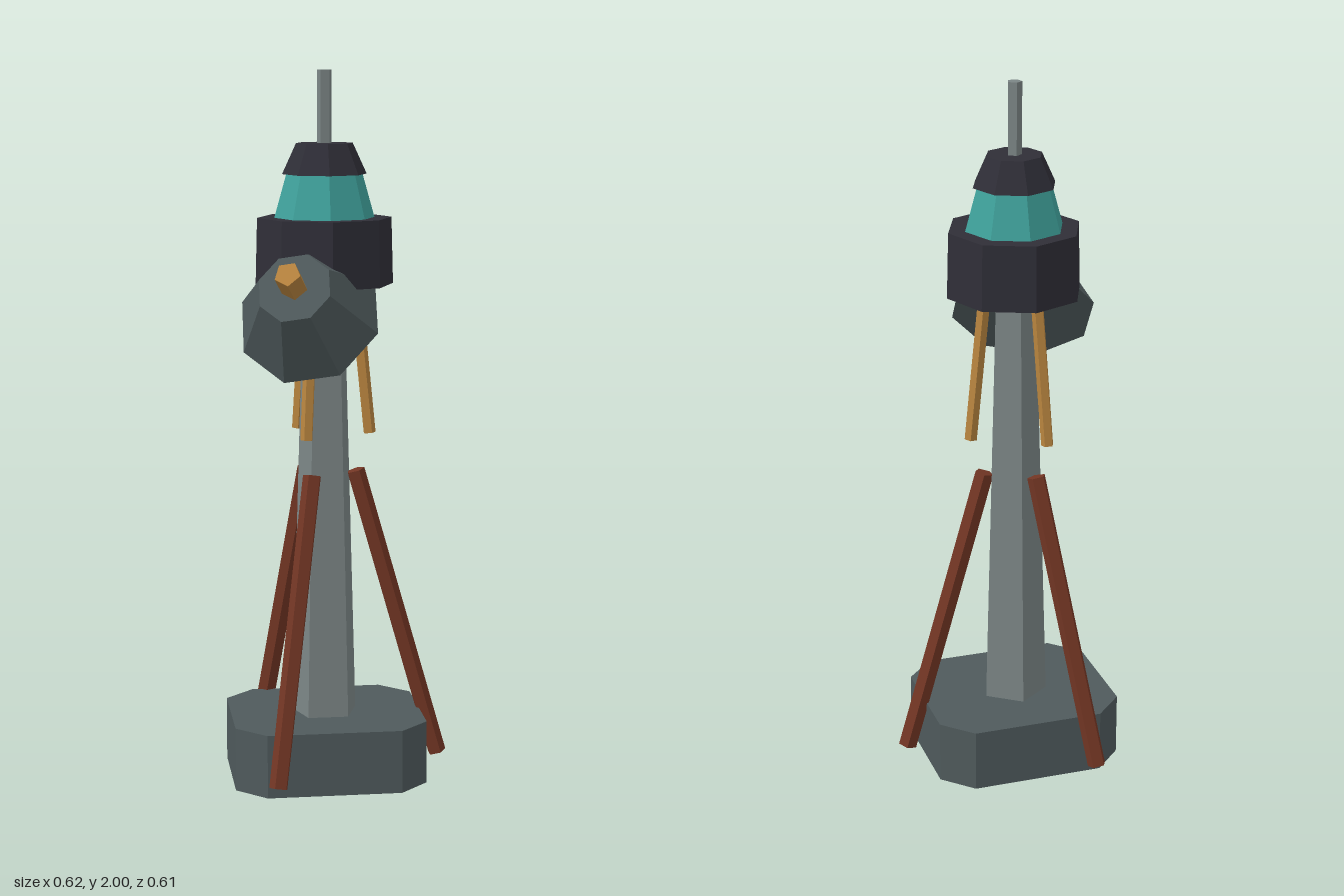
import * as THREE from 'three';

const mat = (name, color) => {
  const m = new THREE.MeshStandardMaterial({ color, flatShading: true });
  m.name = name;
  return m;
};

export function createModel() {
  const baseGrey = mat('dark concrete', 0x4f5a5c);
  const steel = mat('light steel', 0x7b8585);
  const dark = mat('dark cabin', 0x2f2e37);
  const teal = mat('teal glass', 0x3fa19b);
  const rust = mat('rust red', 0x733624);
  const amber = mat('amber', 0xb9853f);

  const model = new THREE.Group();
  model.name = 'tower';
  const tower = new THREE.Group();
  tower.name = 'towerBody';
  tower.position.x = -0.042;
  model.add(tower);

  const add = (parent, name, geometry, material) => {
    const mesh = new THREE.Mesh(geometry, material);
    mesh.name = name;
    parent.add(mesh);
    return mesh;
  };

  // upright tapered section between two heights
  const section = (name, material, sides, y0, y1, r0, r1) => {
    const g = new THREE.CylinderGeometry(r1, r0, y1 - y0, sides, 1, false, Math.PI);
    g.translate(0, (y0 + y1) / 2, 0);
    return add(tower, name, g, material);
  };

  // chamfered foundation block
  const w = 0.271, d = 0.234, c = 0.082;
  const outline = new THREE.Shape([
    [w, -d + c], [w, d - c], [w - c, d], [-w + c, d],
    [-w, d - c], [-w, -d + c], [-w + c, -d], [w - c, -d],
  ].map(([x, y]) => new THREE.Vector2(x, y)));
  const block = new THREE.ExtrudeGeometry(outline, { depth: 0.18, bevelEnabled: false });
  block.rotateX(-Math.PI / 2);
  add(tower, 'foundation', block, baseGrey);

  // mast, cabin, lantern and antenna
  section('mast', steel, 5, 0.17, 1.43, 0.097, 0.06);
  section('cabin', dark, 8, 1.41, 1.595, 0.193, 0.188);
  section('lanternGlass', teal, 8, 1.595, 1.72, 0.14, 0.105);
  section('lanternRoof', dark, 8, 1.715, 1.8, 0.118, 0.079);
  section('antenna', steel, 5, 1.79, 2, 0.021, 0.021);

  // sloping beam in the +x plane, from (radius, height) to (radius, height)
  const beam = (parent, name, material, r, [x0, y0], [x1, y1]) => {
    const g = new THREE.CylinderGeometry(r, r, Math.hypot(x1 - x0, y1 - y0), 5, 1, false, Math.PI / 2);
    g.rotateZ(Math.atan2(x0 - x1, y1 - y0));
    g.translate((x0 + x1) / 2, (y0 + y1) / 2, 0);
    add(parent, name, g, material);
  };

  // three legs and three cabin struts
  for (let i = 0; i < 3; i++) {
    const side = new THREE.Group();
    side.name = 'supports' + (i + 1);
    side.rotation.y = (i * Math.PI * 2) / 3;
    beam(side, 'leg', rust, 0.027, [0.326, 0.043], [0.087, 0.88]);
    beam(side, 'strut', amber, 0.018, [0.127, 0.987], [0.081, 1.45]);
    tower.add(side);
  }

  // dish aimed forward, to the right and upward
  const dish = new THREE.Group();
  dish.name = 'dish';
  dish.position.set(-0.094, 1.325, 0.08);
  dish.rotation.set(-0.58, -0.39, 0, 'YXZ');
  model.add(dish);
  const cone = new THREE.CylinderGeometry(0.105, 0.205, 0.178, 8, 1, false, Math.PI / 8);
  cone.rotateX(Math.PI / 2).rotateZ(0.19).translate(0, 0, 0.089);
  add(dish, 'dishShell', cone, baseGrey);
  const horn = new THREE.CylinderGeometry(0.037, 0.037, 0.1, 5);
  horn.rotateX(Math.PI / 2).rotateZ(0.19).translate(0, 0, 0.208);
  add(dish, 'feedHorn', horn, amber);

  return model;
}
